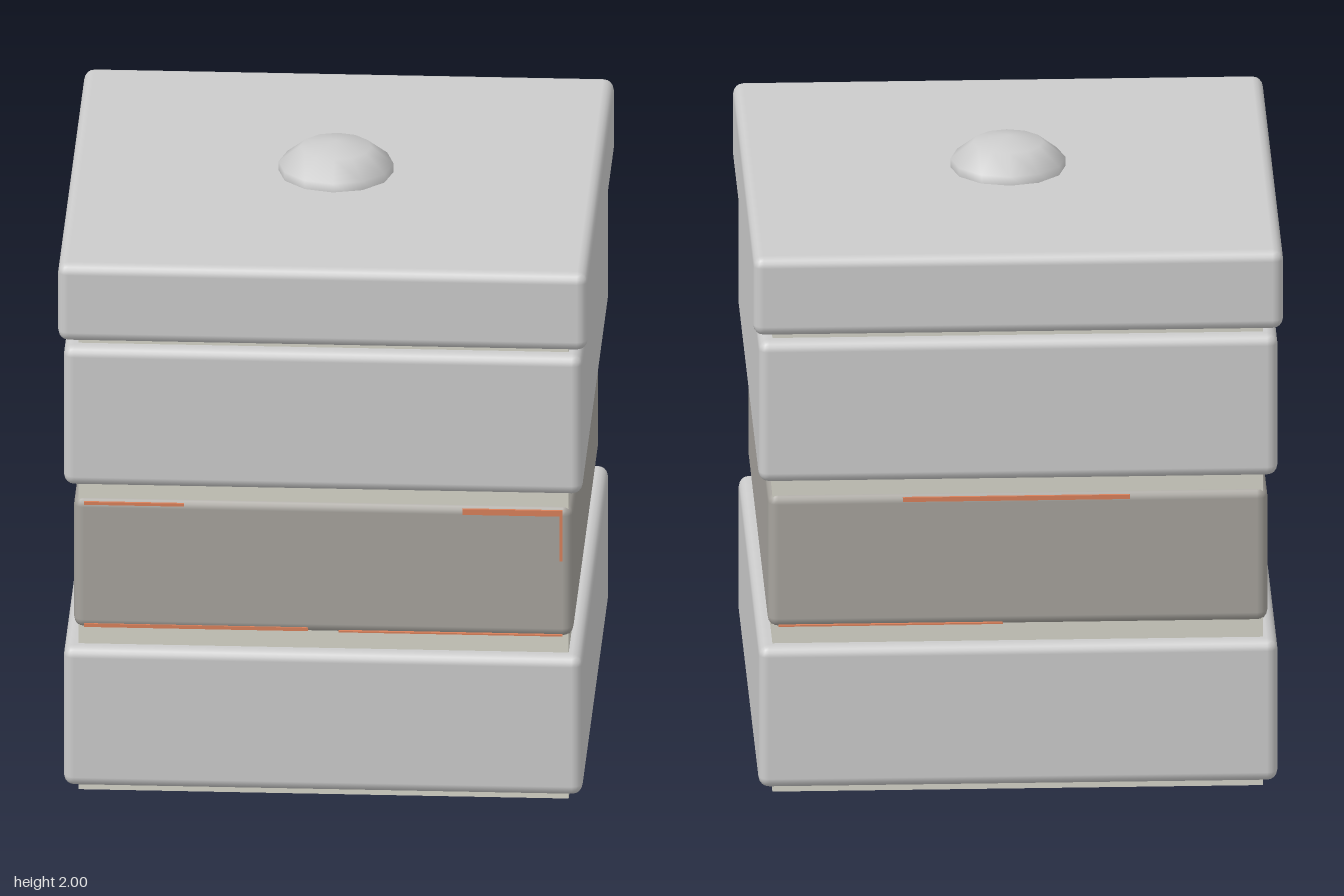
import * as THREE from 'three';
import { RoundedBoxGeometry } from 'three/addons/geometries/RoundedBoxGeometry.js';

const grey = new THREE.MeshStandardMaterial({ color: 0xcccccc });
const darkGrey = new THREE.MeshStandardMaterial({ color: 0xa6a39d });
const paleGrey = new THREE.MeshStandardMaterial({ color: 0xd6d5c9 });
const copper = new THREE.MeshStandardMaterial({ color: 0xd9805a });

export function createModel() {
  const model = new THREE.Group();
  model.name = 'stackedBlock';

  const add = (name, geometry, material, x, y, z) => {
    const mesh = new THREE.Mesh(geometry, material);
    mesh.name = name;
    mesh.position.set(x, y, z);
    model.add(mesh);
    return mesh;
  };

  // Square slab with softened edges, from y0 to y1
  const slab = (name, half, y0, y1, material) =>
    add(name, new RoundedBoxGeometry(half * 2, y1 - y0, half * 2, 2, 0.035),
      material, 0, (y0 + y1) / 2, 0);

  // Inner core, visible in the gaps and as the foot
  add('core', new THREE.BoxGeometry(1.62, 1.7, 1.62), paleGrey, 0, 0.85, 0);

  // Stack of slabs
  slab('lowerSlab', 0.857, 0.025, 0.52, grey);
  slab('middleBand', 0.825, 0.575, 1.045, darkGrey);
  slab('upperSlab', 0.857, 1.095, 1.59, grey);
  slab('lid', 0.875, 1.615, 1.89, grey);

  // Low faceted knob on the lid
  const knob = add('knob', new THREE.SphereGeometry(0.2, 12, 5), grey, 0, 1.884, 0);
  knob.scale.y = 0.58;

  // Thin trim strips on the middle band: x range, y range, side (+1 front, -1 back)
  const strips = [
    [-0.79, -0.46, 1.02, 1.03, 1],
    [0.46, 0.79, 1.01, 1.03, 1],
    [0.78, 0.79, 0.85, 1.03, 1],
    [-0.79, -0.05, 0.585, 0.597, 1],
    [0.05, 0.79, 0.583, 0.588, 1],
    [-0.37, 0.38, 1.015, 1.03, -1],
    [0.05, 0.79, 0.583, 0.588, -1],
  ];
  for (const [x0, x1, y0, y1, side] of strips) {
    add('trimStrip', new THREE.BoxGeometry(x1 - x0, y1 - y0, 0.03),
      copper, (x0 + x1) / 2, (y0 + y1) / 2, side * 0.812);
  }

  return model;
}
